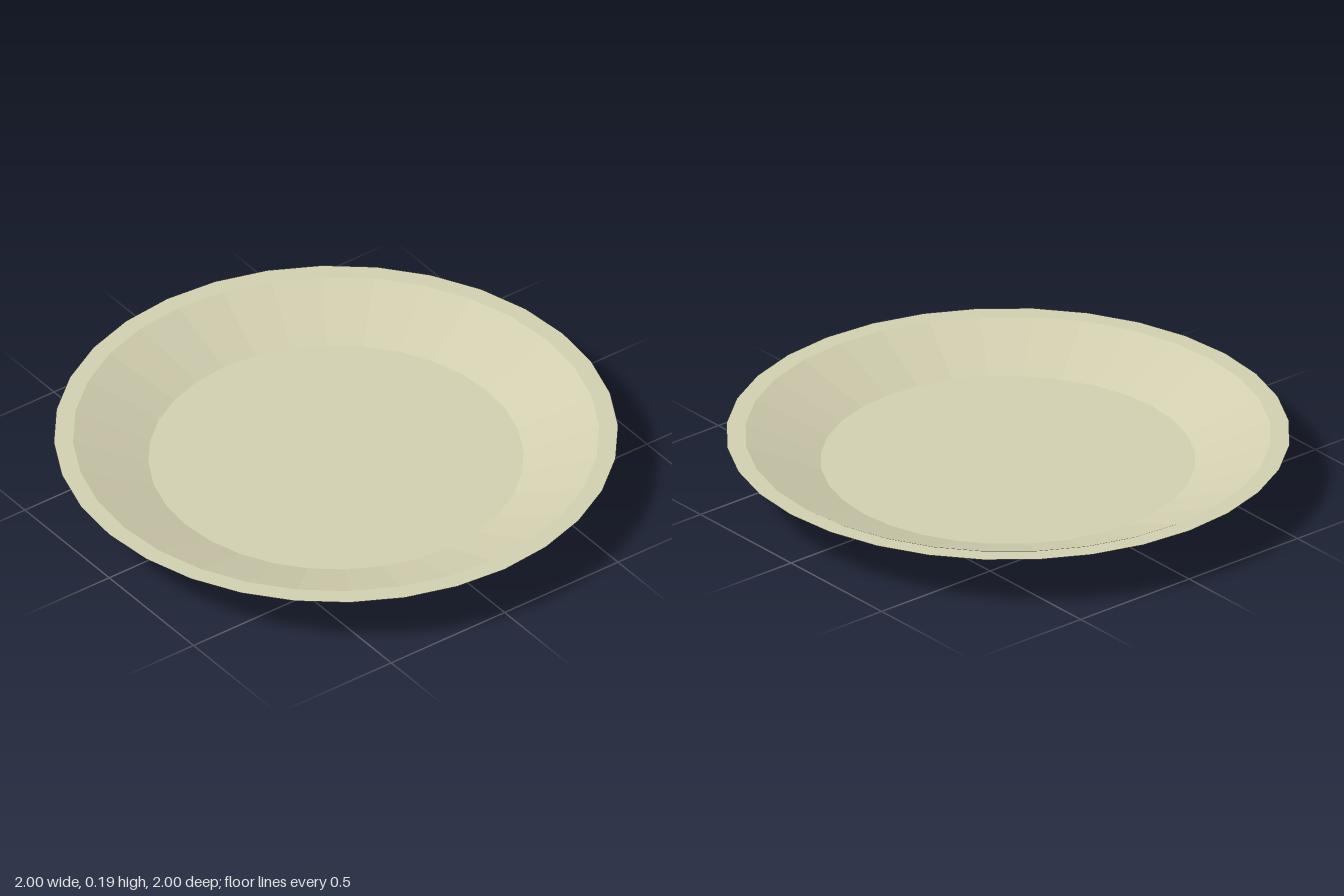
import * as THREE from 'three';

export function createModel() {
  const group = new THREE.Group();
  group.name = 'plate';

  // Closed profile: underside, foot, flared wall, flat rim, inner slope, floor
  const profile = [
    [0, 0], [0.515, 0], [0.62, 0.065], [1, 0.19],
    [0.932, 0.19], [0.665, 0.087], [0, 0.087],
  ].map(([r, y]) => new THREE.Vector2(r, y));

  const dish = new THREE.Mesh(
    new THREE.LatheGeometry(profile, 32),
    new THREE.MeshStandardMaterial({ color: 0xd2cfb0, flatShading: true })
  );
  dish.name = 'dish';
  group.add(dish);

  return group;
}
